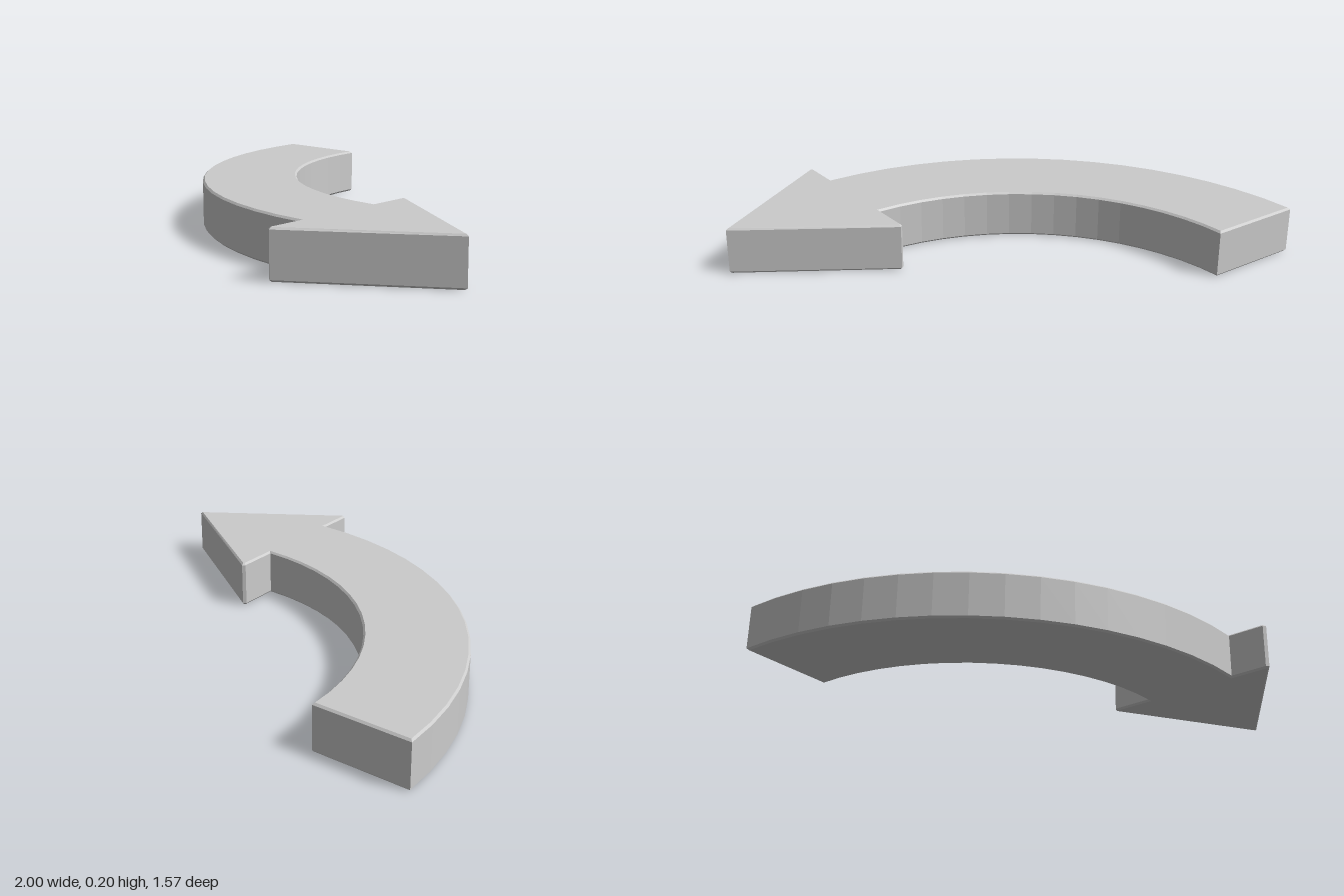
import * as THREE from 'three';

const HEIGHT = 0.2;
const BEVEL = 0.008;
const SEGMENTS = 16;
const CENTER = { x: 0.4, z: -0.785 }; // centre of the quarter bend
const OUTER = 1.4;
const INNER = 0.987;

// points along a quarter circle, from the tail (-x side) to the head (+z side)
function quarterArc(radius) {
  const points = [];
  for (let i = 0; i <= SEGMENTS; i++) {
    const a = (i / SEGMENTS) * Math.PI / 2;
    points.push(new THREE.Vector2(CENTER.x - radius * Math.cos(a), CENTER.z + radius * Math.sin(a)));
  }
  return points;
}

export function createModel() {
  const group = new THREE.Group();
  group.name = 'curvedArrow';

  // pointed head with slightly blunted rear corners
  const tipZ = 0.402;
  const head = [[0.4, -0.373], [0.412, -0.383], [1, 0], [0.412, 0.383], [0.4, 0.373]]
    .map(([x, dz]) => new THREE.Vector2(x, tipZ + dz));

  // outline: inner bend, head, then back along the outer bend
  const outline = new THREE.Shape([...quarterArc(INNER), ...head, ...quarterArc(OUTER).reverse()]);

  // slab with a fine chamfer on the top and bottom edges
  const geometry = new THREE.ExtrudeGeometry(outline, {
    depth: HEIGHT - 2 * BEVEL,
    bevelEnabled: true,
    bevelThickness: BEVEL,
    bevelSize: BEVEL,
    bevelOffset: -BEVEL,
    bevelSegments: 1,
  });
  geometry.rotateX(Math.PI / 2);
  geometry.translate(0, HEIGHT - BEVEL, 0);

  const material = new THREE.MeshStandardMaterial({ color: 0xcccccc, flatShading: true });
  const arrow = new THREE.Mesh(geometry, material);
  arrow.name = 'arrowBody';
  group.add(arrow);
  return group;
}
